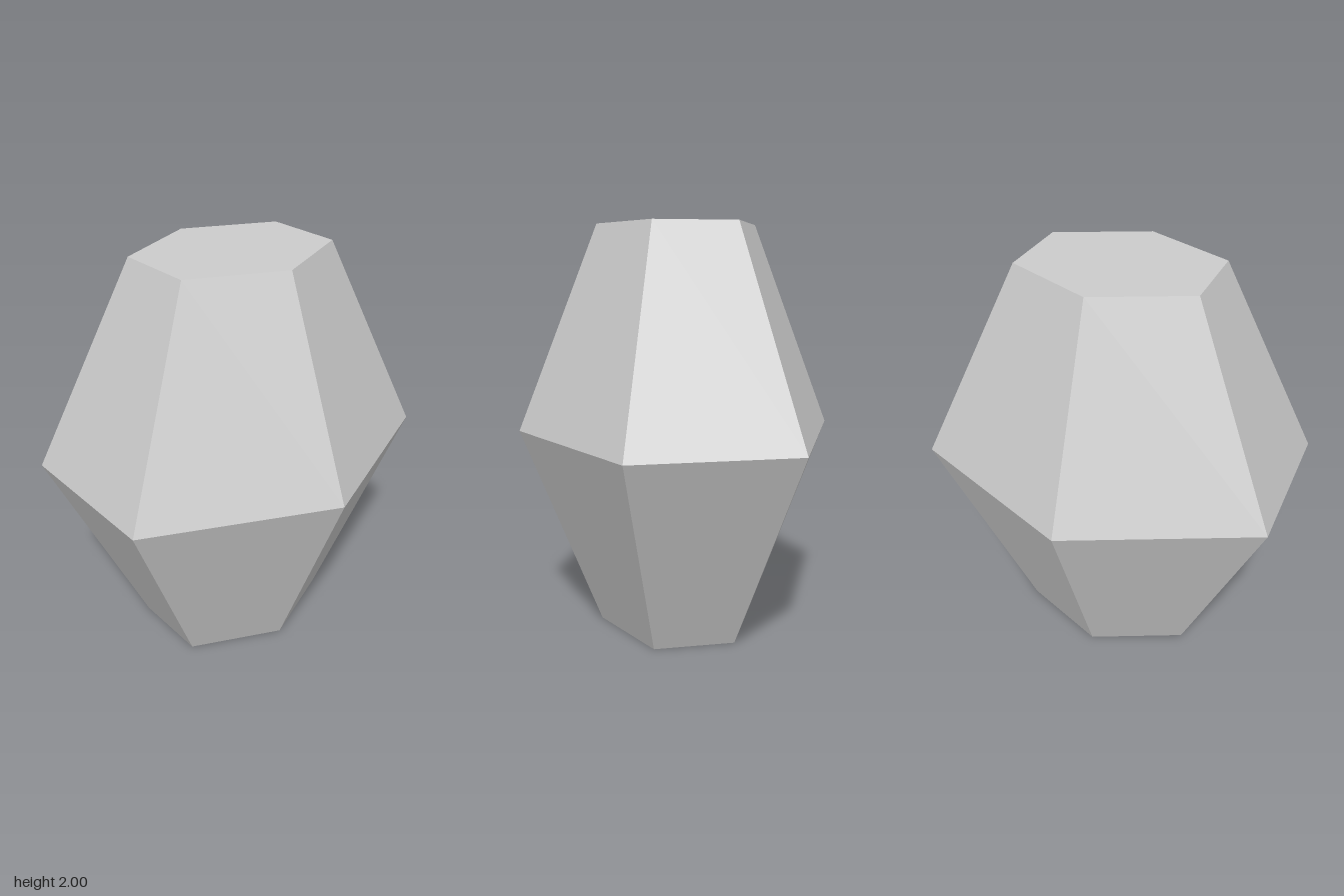
import * as THREE from 'three';

export function createModel() {
  const group = new THREE.Group();
  group.name = 'gem';

  const stoneGrey = new THREE.MeshStandardMaterial({ color: 0xcccccc, flatShading: true });
  stoneGrey.name = 'stoneGrey';

  // Six-sided body: narrow flat base, wide girdle, narrow flat top
  const profile = [[0, 0], [0.5, 0], [1, 1], [0.5, 2], [0, 2]]
    .map(([r, y]) => new THREE.Vector2(r, y));
  const geometry = new THREE.LatheGeometry(profile, 6, Math.PI / 2);

  // Slightly flattened from side to side
  geometry.scale(0.79, 1, 1.008);

  const body = new THREE.Mesh(geometry, stoneGrey);
  body.name = 'facetedBody';
  group.add(body);
  return group;
}
